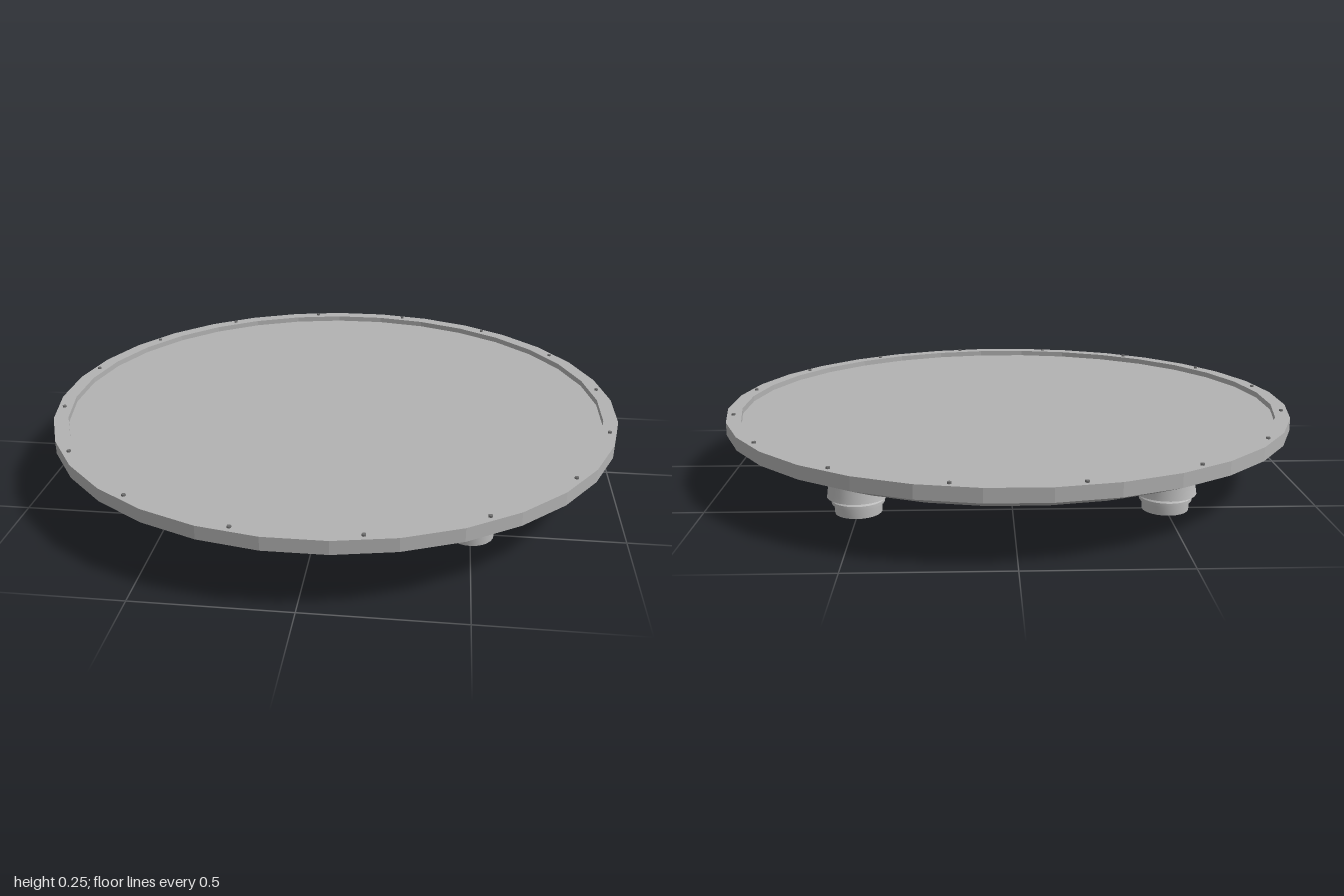
import * as THREE from 'three';
import { toCreasedNormals } from 'three/addons/utils/BufferGeometryUtils.js';

const mat = (name, color, side = THREE.FrontSide) => {
  const m = new THREE.MeshStandardMaterial({ color, side });
  m.name = name;
  return m;
};

// Turned part; the profile runs from the bottom centre outward and up
function turned(points, sides, crease, start = 0) {
  const pts = points.map(([r, y]) => new THREE.Vector2(r, y));
  return toCreasedNormals(new THREE.LatheGeometry(pts, sides, start), crease);
}

export function createModel() {
  const model = new THREE.Group();
  model.name = 'hoverPlatform';
  const grey = mat('platformGrey', 0xb2b2b2);
  const light = mat('podGrey', 0xbebebe, THREE.DoubleSide);
  const teal = mat('lensTeal', 0x66b4ca);
  const dark = mat('boltGrey', 0x707070);

  const add = (parent, name, geometry, material, x = 0, y = 0, z = 0) => {
    const mesh = new THREE.Mesh(geometry, material);
    mesh.name = name;
    mesh.position.set(x, y, z);
    parent.add(mesh);
    return mesh;
  };

  // 32-sided disc with flat edges facing the four axes
  const half = Math.PI / 32;
  const R = 1 / Math.cos(half);
  add(model, 'underside', turned([
    [0, 0.11], [0.25, 0.113], [0.5, 0.123], [0.72, 0.138], [0.9, 0.155], [R, 0.2],
  ], 32, 0.6, half), grey);
  add(model, 'rimAndDeck', turned([
    [R, 0.2], [R, 0.245], [0.95 * R, 0.245], [0.95 * R, 0.225], [0, 0.225],
  ], 32, 0.1, half), grey);

  // Small bolts around the rim
  const boltGeo = new THREE.CylinderGeometry(0.007, 0.007, 0.008, 6);
  for (let i = 0; i < 16; i++) {
    const a = half * 2 + i * Math.PI / 8;
    add(model, 'rimBolt', boltGeo, dark, 0.978 * Math.sin(a), 0.247, 0.978 * Math.cos(a));
  }

  // Central hub with glowing waist and flared foot
  add(model, 'hub', turned([
    [0, 0.06], [0.115, 0.06], [0.13, 0.07], [0.125, 0.082], [0.085, 0.104], [0.075, 0.106], [0.075, 0.13],
  ], 24, 0.5), light);
  add(model, 'hubGlow', turned([[0, 0.044], [0.075, 0.044], [0.08, 0.06]], 24, 0.5), teal);
  add(model, 'hubFoot', turned([
    [0, 0.018], [0.1, 0.018], [0.1, 0.024], [0.062, 0.046], [0, 0.046],
  ], 24, 0.5), light);

  // Shared geometry of the four thruster arms
  const podGeo = turned([
    [0.06, 0.006], [0.062, 0], [0.076, 0], [0.078, 0.032], [0.086, 0.034], [0.086, 0.044],
    [0.08, 0.05], [0.08, 0.056], [0.1, 0.056], [0.097, 0.075], [0.094, 0.13],
    [0.104, 0.132], [0.104, 0.142],
  ], 24, 0.5);
  const lensGeo = turned([[0, 0.005], [0.062, 0.005]], 24, 0.5);
  const finShape = new THREE.Shape();
  finShape.moveTo(0, 0.095);
  finShape.lineTo(0, 0.14);
  finShape.lineTo(-0.13, 0.13);
  finShape.closePath();
  const finGeo = new THREE.ExtrudeGeometry(finShape, { depth: 0.008, bevelEnabled: false });
  finGeo.translate(0, 0, -0.004);

  for (let i = 0; i < 4; i++) {
    const arm = new THREE.Group();
    arm.name = 'thrusterArm';
    arm.rotation.y = Math.PI / 4 + i * Math.PI / 2;
    model.add(arm);

    // Strut rising slightly from hub to pod
    const strut = add(arm, 'strut', new THREE.BoxGeometry(0.53, 0.016, 0.02), light, 0.365, 0.079, 0);
    strut.rotation.z = 0.03;
    add(arm, 'strutClamp', new THREE.BoxGeometry(0.06, 0.018, 0.034), light, 0.14, 0.072, 0);

    const pod = new THREE.Group();
    pod.name = 'thrusterPod';
    pod.position.x = Math.SQRT1_2;
    arm.add(pod);
    add(pod, 'podBody', podGeo, light);
    add(pod, 'podLens', lensGeo, teal);

    // Tapering braces against the underside
    for (const s of [-1, 1]) {
      const fin = add(pod, 'brace', finGeo, light, -0.075, 0, s * 0.045);
      fin.rotation.y = s * 0.2;
    }
  }
  return model;
}
